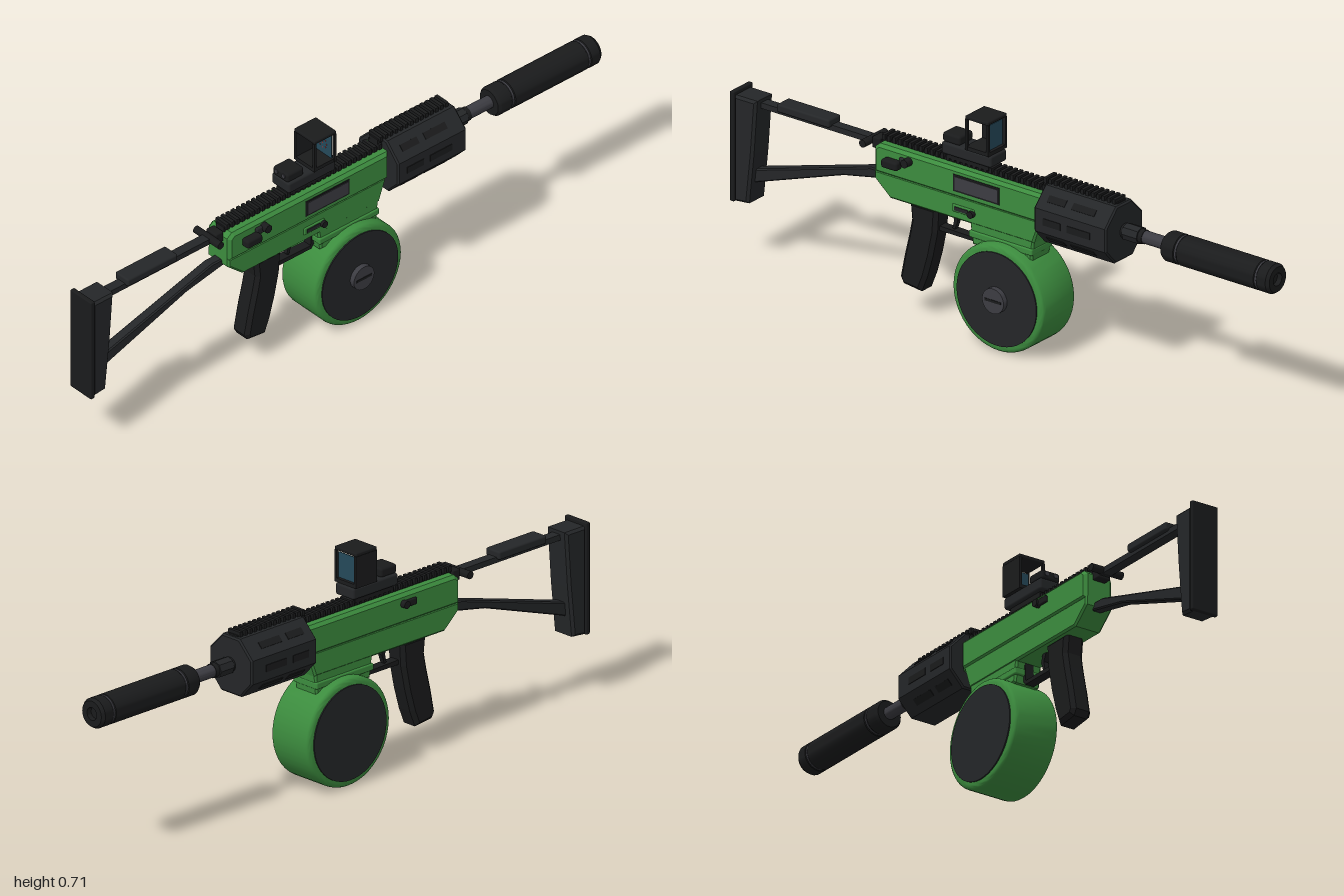
import * as THREE from 'three';
import { toCreasedNormals } from 'three/addons/utils/BufferGeometryUtils.js';
import { RoundedBoxGeometry } from 'three/addons/geometries/RoundedBoxGeometry.js';

const CX = -0.007; // mid-plane of the body
const mat = (color) => new THREE.MeshStandardMaterial({ color });
const green = mat(0x3c8c3e), dark = mat(0x242628), black = mat(0x1a1b1c), grey = mat(0x3c3c42), glass = mat(0x25495a), red = mat(0xd02a20);

export function createModel() {
  const root = new THREE.Group();

  const add = (name, geo, material, parent = root) => {
    const m = new THREE.Mesh(geo, material);
    m.name = name;
    parent.add(m);
    return m;
  };
  const group = (name) => {
    const g = new THREE.Group();
    g.name = name;
    root.add(g);
    return g;
  };
  // box given by its size and centre, x measured from the mid-plane
  const box = (name, material, w, h, d, x, y, z, parent, r = 0) => {
    const geo = r ? new RoundedBoxGeometry(w, h, d, 2, r) : new THREE.BoxGeometry(w, h, d);
    const m = add(name, geo, material, parent);
    m.position.set(CX + x, y, z);
    return m;
  };
  // side outline of [z, y] points, extruded across x
  const side = (name, material, pts, width, bevel = 0.006, parent) => {
    const shape = new THREE.Shape(pts.map(([z, y]) => new THREE.Vector2(z, y)));
    const geo = new THREE.ExtrudeGeometry(shape, {
      depth: width - 2 * bevel, bevelThickness: bevel, bevelSize: bevel,
      bevelOffset: -bevel, bevelSegments: 1, bevelEnabled: bevel > 0,
    });
    geo.translate(0, 0, -(width - 2 * bevel) / 2).rotateY(-Math.PI / 2).translate(CX, 0, 0);
    return add(name, geo, material, parent);
  };
  // turned part of [radius, distance] points; axis 'x' or 'z'
  const turned = (name, material, pts, axis, x, y, z, parent, sides = 32) => {
    let geo = new THREE.LatheGeometry(pts.map(([r, h]) => new THREE.Vector2(r, h)), sides);
    if (axis === 'x') geo.rotateZ(-Math.PI / 2); else geo.rotateX(Math.PI / 2);
    geo = toCreasedNormals(geo, 0.6);
    const m = add(name, geo, material, parent);
    m.position.set(x, y, z);
    return m;
  };
  const rod = (name, material, r, a, b, axis, x, y, z, parent, sides = 20) =>
    turned(name, material, [[0, a], [r, a], [r, b], [0, b]], axis, x, y, z, parent, sides);
  // toothed rail along z
  const rail = (name, z0, z1, y0, y1) => {
    const g = group(name), h = y1 - y0;
    box('railBase', black, 0.036, h * 0.6, z1 - z0, 0, y0 + h * 0.3, (z0 + z1) / 2, g);
    const n = Math.round((z1 - z0) / 0.02), step = (z1 - z0) / n;
    for (let i = 0; i < n; i++)
      box('railTooth', black, 0.05, h * 0.65, step * 0.55, 0, y1 - h * 0.33, z0 + step * (i + 0.5), g);
  };

  // Receiver
  side('upperReceiver', green, [[0.463, 0.435], [0.463, 0.515], [0.445, 0.53], [-0.163, 0.53], [-0.163, 0.435]], 0.1, 0.01);
  side('lowerReceiver', green, [[0.463, 0.443], [0.463, 0.415], [0.405, 0.365], [-0.128, 0.365], [-0.155, 0.443]], 0.094);
  side('magazineWell', green, [[0.115, 0.4], [0.1, 0.3], [-0.12, 0.3], [-0.13, 0.4]], 0.09);
  box('magazineCollar', green, 0.1, 0.022, 0.235, 0, 0.335, -0.008, root, 0.005);
  box('ejectionPort', black, 0.004, 0.054, 0.172, 0.05, 0.484, 0.08);
  box('portCover', grey, 0.004, 0.042, 0.158, 0.052, 0.484, 0.08);
  box('catchFrame', green, 0.008, 0.024, 0.08, 0.047, 0.402, 0.13, root, 0.003);
  box('catchPlate', dark, 0.004, 0.012, 0.05, 0.051, 0.402, 0.135);
  rod('catchPin', black, 0.011, 0, 0.014, 'x', 0.04, 0.4, 0.097);
  box('selector', black, 0.03, 0.028, 0.06, 0.064, 0.487, 0.385, root, 0.008);
  rod('selectorPin', black, 0.013, 0, 0.028, 'x', 0.04, 0.505, 0.33);
  box('selectorTab', dark, 0.012, 0.024, 0.035, 0.054, 0.5, 0.345, root, 0.005);
  rod('leftPin', black, 0.012, -0.024, 0, 'x', -0.05, 0.5, 0.23);
  box('leftLever', black, 0.01, 0.022, 0.055, -0.056, 0.5, 0.25, root, 0.004);
  rail('receiverRail', -0.16, 0.455, 0.524, 0.552);

  // Octagonal handguard with slots
  const guard = group('handguard');
  const oct = [[0.036, 0.562], [0.089, 0.507], [0.089, 0.433], [0.042, 0.382]];
  const ring = [...oct, ...oct.map(([x, y]) => [-x, y]).reverse()];
  const guardGeo = new THREE.ExtrudeGeometry(new THREE.Shape(ring.map(([x, y]) => new THREE.Vector2(x, y))), {
    depth: 0.258, bevelThickness: 0.005, bevelSize: 0.005, bevelOffset: -0.005, bevelSegments: 1,
  });
  add('handguardShell', guardGeo.translate(CX, 0, -0.426), dark, guard);
  for (const s of [1, -1]) for (let i = 0; i < 3; i++) {
    const [ax, ay] = oct[i], [bx, by] = oct[i + 1];
    for (const [z, len] of [[-0.23, 0.065], [-0.33, 0.085]]) {
      const slot = box('slot', black, 0.004, 0.022, len, s * (ax + bx) / 2, (ay + by) / 2, z, guard);
      slot.rotation.z = s * Math.atan2(bx - ax, ay - by);
    }
  }
  rail('handguardRail', -0.42, -0.145, 0.55, 0.577);

  // Barrel and suppressor
  rod('barrelNut', dark, 0.027, -0.495, -0.44, 'z', CX, 0.475, 0, root, 8);
  rod('barrelCollar', black, 0.022, -0.51, -0.42, 'z', CX, 0.475, 0);
  rod('barrel', grey, 0.02, -0.62, -0.42, 'z', CX, 0.475, 0);
  turned('suppressor', black, [[0, -0.985], [0.018, -0.985], [0.02, -1], [0.04, -1], [0.047, -0.99], [0.047, -0.957],
    [0.044, -0.955], [0.044, -0.947], [0.047, -0.945], [0.047, -0.66], [0.044, -0.658], [0.044, -0.648],
    [0.047, -0.646], [0.047, -0.605], [0.041, -0.596], [0, -0.596]], 'z', CX, 0.473, 0);
  for (const z of [-0.951, -0.653])
    rod('suppressorBand', grey, 0.0455, z - 0.003, z + 0.003, 'z', CX, 0.473, 0, root, 32);

  // Drum magazine
  const drum = group('drumMagazine');
  const round = (t) => [0.155 + 0.015 * Math.cos(t), 0.064 + 0.015 * Math.sin(t)];
  const edge = [0, 1, 2, 3, 4].map((i) => round(i * Math.PI / 8));
  turned('drumShell', green, [[0, -0.079], ...edge.map(([r, h]) => [r, -h]).reverse(), ...edge, [0, 0.079]],
    'x', CX, 0.17, -0.02, drum, 48);
  for (const s of [-1, 1])
    rod('drumPlate', dark, 0.148, s > 0 ? 0.07 : -0.083, s > 0 ? 0.083 : -0.07, 'x', CX, 0.17, -0.02, drum, 48);
  rod('drumKnob', grey, 0.04, 0.07, 0.1, 'x', CX, 0.17, -0.02, drum, 24);
  box('knobSlot', black, 0.003, 0.008, 0.06, 0.1, 0.17, -0.02, drum);

  // Grip, trigger and guard
  side('grip', black, [[0.345, 0.37], [0.24, 0.37], [0.245, 0.29], [0.262, 0.21], [0.282, 0.14], [0.303, 0.087],
    [0.37, 0.095], [0.381, 0.115], [0.366, 0.19], [0.349, 0.26], [0.339, 0.31]], 0.07, 0.012);
  side('triggerGuard', black, [[0.25, 0.31], [0.25, 0.295], [0.112, 0.295], [0.1, 0.31], [0.1, 0.37], [0.11, 0.37], [0.114, 0.307]], 0.03, 0);
  side('trigger', black, [[0.21, 0.37], [0.19, 0.37], [0.182, 0.34], [0.193, 0.31], [0.201, 0.313], [0.195, 0.34]], 0.016, 0);

  // Skeleton stock
  const stock = group('stock');
  side('stockButt', dark, [[0.988, 0.535], [0.905, 0.535], [0.918, 0.36], [0.935, 0.2], [0.988, 0.195]], 0.085, 0.008, stock);
  box('buttPad', black, 0.093, 0.352, 0.016, 0, 0.371, 0.992, stock, 0.004);
  box('upperBar', dark, 0.032, 0.018, 0.46, 0, 0.515, 0.69, stock);
  box('cheekRest', dark, 0.058, 0.026, 0.195, 0, 0.53, 0.742, stock, 0.006);
  side('lowerStrut', dark, [[0.94, 0.302], [0.94, 0.258], [0.6, 0.375], [0.45, 0.405], [0.45, 0.428], [0.5, 0.428]], 0.034, 0.004, stock);
  rod('hingePin', black, 0.012, -0.055, 0.055, 'x', CX, 0.517, 0.5, stock);
  box('hingeBlock', black, 0.045, 0.035, 0.03, 0, 0.515, 0.475, stock, 0.004);

  // Reflex sight
  const sight = group('reflexSight');
  box('sightBase', dark, 0.078, 0.038, 0.185, 0, 0.577, 0.128, sight, 0.008);
  box('sightFoot', black, 0.054, 0.02, 0.15, 0, 0.552, 0.128, sight);
  box('emitter', black, 0.066, 0.03, 0.065, 0, 0.609, 0.188, sight, 0.008);
  for (const s of [1, -1]) rod('emitterScrew', grey, 0.007, 0, 0.003, 'z', CX + s * 0.016, 0.612, 0.22, sight, 12);
  box('hoodTop', black, 0.092, 0.012, 0.086, 0, 0.701, 0.083, sight, 0.004);
  box('hoodFloor', black, 0.088, 0.012, 0.086, 0, 0.602, 0.083, sight);
  box('hoodWall', black, 0.009, 0.1, 0.086, -0.041, 0.646, 0.083, sight);
  for (const z of [0.044, 0.122]) box('hoodPost', black, 0.008, 0.1, 0.008, 0.041, 0.646, z, sight);
  box('lens', glass, 0.076, 0.08, 0.003, 0, 0.648, 0.052, sight);
  for (let i = 0; i < 9; i++) { // ring of dots about a centre dot
    const a = i * Math.PI / 4, r = i < 8 ? 0.017 : 0;
    box('reticleDot', red, 0.003, 0.003, 0.001, r * Math.cos(a), 0.646 + r * Math.sin(a), 0.054, sight);
  }
  return root;
}
